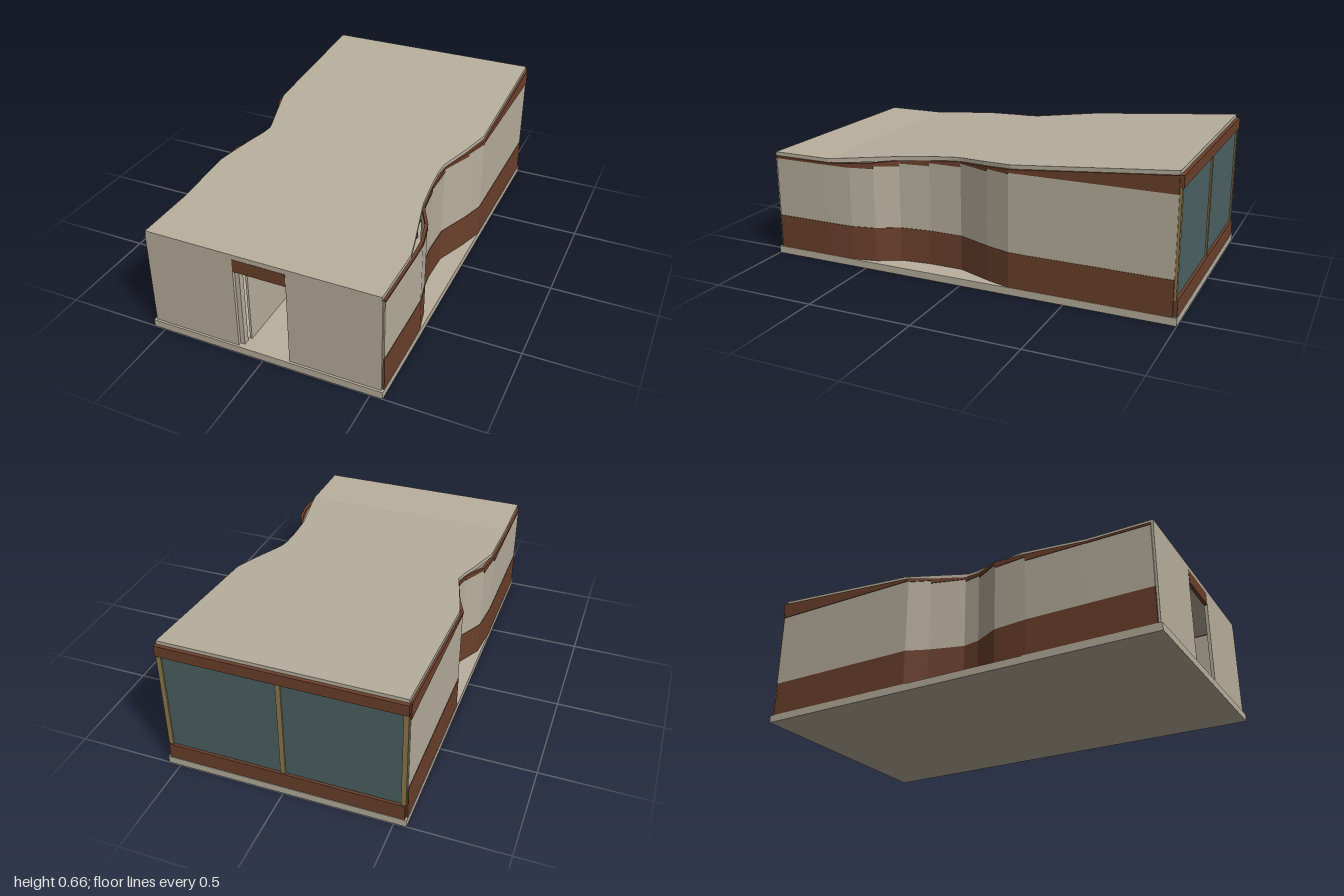
import * as THREE from 'three';

const mat = (name, color, side = THREE.FrontSide) => {
  const m = new THREE.MeshStandardMaterial({ color, side });
  m.name = name;
  return m;
};

// Height of the roof's upper face: level at the front, rising to the back
const roofY = z => z > 0.69 ? 0.515 : 0.515 + (0.69 - z) * 0.0868;

// Solid through rectangular sections [x0, x1, y0, y1, z], listed front to back
function loft(rows) {
  const pos = [];
  const quad = (a, b, c, d) => pos.push(...a, ...b, ...c, ...a, ...c, ...d);
  const rings = rows.map(([x0, x1, y0, y1, z]) =>
    [[x0, y0, z], [x1, y0, z], [x1, y1, z], [x0, y1, z]]);
  quad(...rings[0]);
  for (let i = 0; i + 1 < rings.length; i++) {
    for (let k = 0; k < 4; k++) {
      const n = (k + 1) % 4;
      quad(rings[i][k], rings[i + 1][k], rings[i + 1][n], rings[i][n]);
    }
  }
  quad(...[...rings[rings.length - 1]].reverse());
  const g = new THREE.BufferGeometry();
  g.setAttribute('position', new THREE.Float32BufferAttribute(pos, 3));
  g.computeVertexNormals();
  return g;
}

export function createModel() {
  const house = new THREE.Group();
  house.name = 'house';
  const cream = mat('cream plaster', 0xb9b09e);
  const brown = mat('brown timber', 0x6b402c);
  const glass = mat('teal glass', 0x4c6264);
  const gold = mat('golden wood', 0x8e7a4e);

  const add = (name, geo, material, parent = house) => {
    const m = new THREE.Mesh(geo, material);
    m.name = name;
    parent.add(m);
    return m;
  };
  // Box given by its limits along each axis
  const box = (name, x0, x1, y0, y1, z0, z1, material, parent) => {
    const m = add(name, new THREE.BoxGeometry(x1 - x0, y1 - y0, z1 - z0), material, parent);
    m.position.set((x0 + x1) / 2, (y0 + y1) / 2, (z0 + z1) / 2);
    return m;
  };

  box('floorSlab', -0.556, 0.556, 0, 0.035, -1, 1, cream);

  // Roof, pinched at the waist: [z, left x, right x]
  const roofPlan = [
    [0.99, -0.543, 0.543], [0.69, -0.543, 0.543], [0.6, -0.543, 0.524],
    [0.38, -0.543, 0.472], [0.34, -0.534, 0.464], [0.2, -0.498, 0.45],
    [0.1, -0.468, 0.445], [0.05, -0.46, 0.449], [0.02, -0.468, 0.457],
    [-0.1, -0.503, 0.5], [-0.25, -0.545, 0.545], [-0.98, -0.545, 0.545],
  ];
  add('roof', loft(roofPlan.map(([z, l, r]) => [l, r, roofY(z) - 0.022, roofY(z), z])), cream);

  // Side walls: [z, distance from centre, plaster top for the panel behind it]
  const rightPlan = [
    [0.98, 0.552, 0.487], [0.69, 0.552, 0.487], [0.57, 0.55, 0.488], [0.455, 0.525, 0.5],
    [0.35, 0.47, 0.513], [0.2, 0.452, 0.528], [0.04, 0.453, 0.545],
    [-0.12, 0.515, 0.557], [-0.24, 0.552, 0.563], [-0.98, 0.552, 0],
  ];
  const leftPlan = [
    [0.98, 0.552, 0.487], [0.69, 0.552, 0.488], [0.4, 0.552, 0.507], [0.24, 0.538, 0.522],
    [0.12, 0.476, 0.532], [0.04, 0.462, 0.543], [-0.12, 0.51, 0.557],
    [-0.22, 0.552, 0.563], [-0.98, 0.552, 0],
  ];
  const sideWall = (name, plan, side) => {
    const wall = new THREE.Group();
    wall.name = name;
    house.add(wall);
    const row = ([z, x], y0, y1, out = 0) => {
      const a = side * (x + out), b = side * (x - 0.012);
      return [Math.min(a, b), Math.max(a, b), y0, y1, z];
    };
    add('wallBase', loft(plan.map(p => row(p, 0.035, 0.2, 0.002))), brown, wall);
    for (let i = 0; i + 1 < plan.length; i++) {
      const top = plan[i][2], ends = [plan[i], plan[i + 1]];
      add('plasterPanel', loft(ends.map(p => row(p, 0.2, top))), cream, wall);
      add('wallCap', loft(ends.map(p =>
        row(p, top, Math.max(top + 0.003, roofY(p[0]) - 0.018), 0.003))), brown, wall);
    }
  };
  sideWall('leftWall', rightPlan, 1);
  sideWall('rightWall', leftPlan, -1);

  // Front wall with doorway and lintel
  box('frontWallLeft', 0.123, 0.546, 0.035, 0.493, 0.975, 0.99, cream);
  box('frontWallRight', -0.546, -0.123, 0.035, 0.493, 0.975, 0.99, cream);
  box('doorLintel', -0.123, 0.123, 0.431, 0.493, 0.975, 0.991, brown);
  box('doorJamb', -0.123, -0.102, 0.035, 0.431, 0.945, 0.975, cream);

  // Back window wall
  box('backSill', -0.546, 0.546, 0.035, 0.11, -0.997, -0.975, brown);
  box('backBeam', -0.55, 0.55, 0.59, 0.643, -0.997, -0.975, brown);
  box('backGlass', -0.54, 0.54, 0.11, 0.59, -0.984, -0.977, glass);
  for (const x of [-0.537, 0, 0.537])
    box('windowPost', x - 0.011, x + 0.011, 0.11, 0.59, -0.991, -0.97, gold);

  // Interior partition and cabinet
  box('partition', -0.102, -0.092, 0.035, 0.39, 0.1, 0.93, cream);
  box('cabinet', -0.4, -0.012, 0.035, 0.283, -0.5, -0.3, cream);
  box('cabinetTop', -0.4, -0.01, 0.283, 0.29, -0.5, -0.298, brown);

  // Small table beside the entry
  const table = new THREE.Group();
  table.name = 'table';
  house.add(table);
  box('tableTop', 0.085, 0.3, 0.132, 0.14, -0.1, 0.15, brown, table);
  for (const x of [0.105, 0.28])
    for (const z of [-0.08, 0.13])
      box('tableLeg', x - 0.008, x + 0.008, 0.035, 0.132, z - 0.008, z + 0.008, brown, table);

  return house;
}
